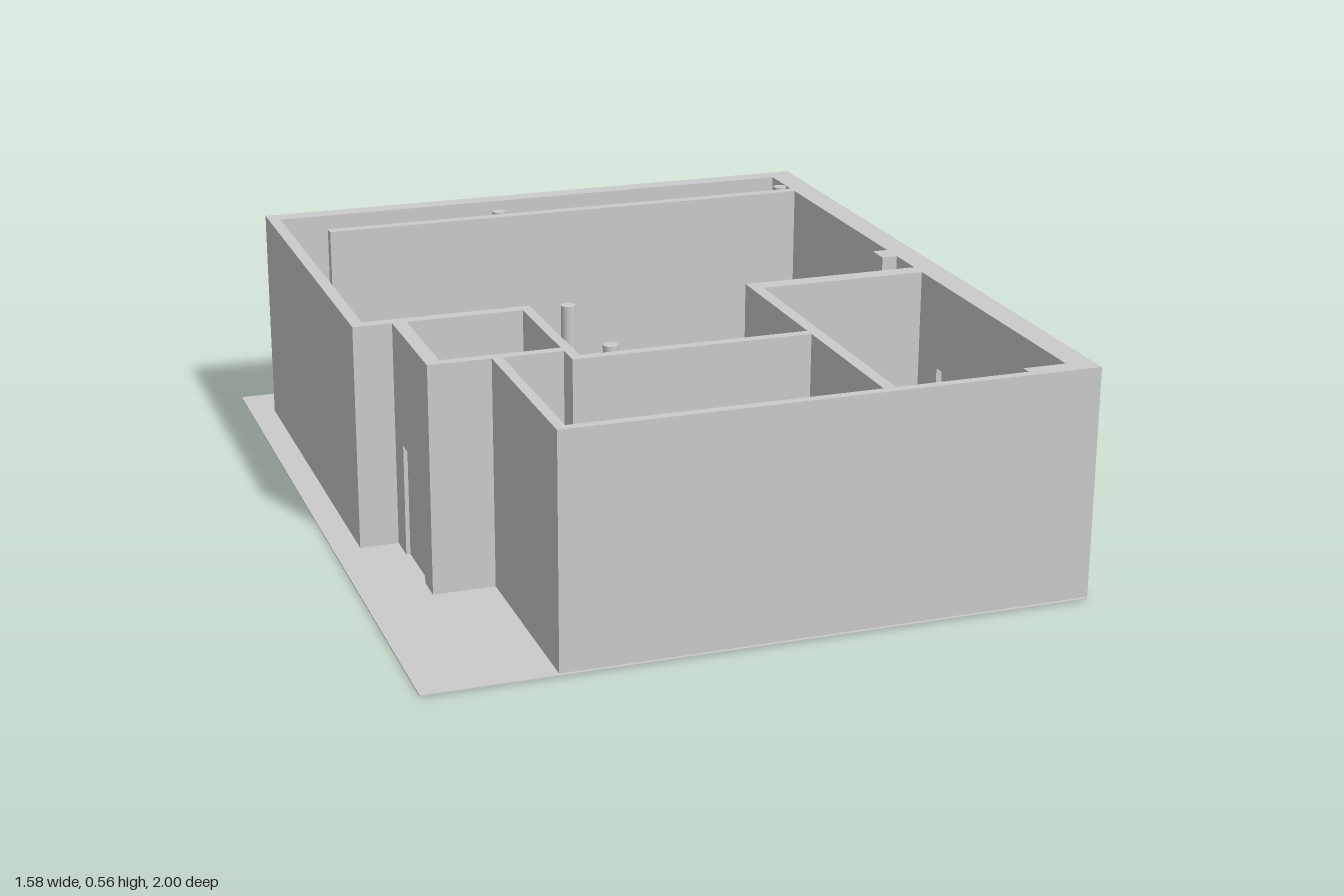
import * as THREE from 'three';

const H = 0.56; // wall height

export function createModel() {
  const root = new THREE.Group();
  const mat = new THREE.MeshStandardMaterial({ color: 0xcccccc });

  const add = (name, geo) => {
    const mesh = new THREE.Mesh(geo, mat);
    mesh.name = name;
    root.add(mesh);
    return mesh;
  };

  // Axis-aligned block given by its limits
  const block = (name, x0, x1, y0, y1, z0, z1) =>
    add(name, new THREE.BoxGeometry(x1 - x0, y1 - y0, z1 - z0)
      .translate((x0 + x1) / 2, (y0 + y1) / 2, (z0 + z1) / 2));

  // Wall with an optional opening [from, to, bottom, top] along its length
  const wall = (name, x0, x1, z0, z1, opening) => {
    if (!opening) return block(name, x0, x1, 0, H, z0, z1);
    const alongX = x1 - x0 > z1 - z0;
    const [s, e] = alongX ? [x0, x1] : [z0, z1];
    const [a, b, lo, hi] = opening;
    const pts = (list) => list.map(([u, v]) => new THREE.Vector2(u, v));
    const door = lo === 0 ? [[a, 0], [a, hi], [b, hi], [b, 0]] : [];
    const shape = new THREE.Shape(pts([[s, 0], ...door, [e, 0], [e, H], [s, H]]));
    if (lo > 0) shape.holes.push(new THREE.Path(pts([[a, lo], [a, hi], [b, hi], [b, lo]])));
    const geo = new THREE.ExtrudeGeometry(shape, { depth: alongX ? z1 - z0 : x1 - x0, bevelEnabled: false });
    if (alongX) {
      geo.translate(0, 0, z0);
    } else {
      // Turn so that the length runs along +z
      geo.rotateY(-Math.PI / 2).translate(x1, 0, 0);
    }
    return add(name, geo);
  };

  // Ground slab
  block('groundSlab', -0.795, 0.78, 0, 0.003, -1, 1);

  // Outer walls
  wall('backWall', -0.73, 0.785, -0.86, -0.81);
  wall('terraceSideWall', 0.72, 0.785, -0.81, 0.97, [0.295, 0.63, 0, 0.34]);
  wall('frontWall', -0.485, 0.785, 0.97, 0.993);
  wall('mainRoomSideWall', -0.73, -0.7, -0.81, 0.145);
  wall('stepWall', -0.73, -0.29, 0.145, 0.175);
  wall('smallRoomSideWall', -0.635, -0.6, 0.175, 0.5, [0.25, 0.43, 0, 0.28]);
  wall('smallRoomFrontWall', -0.6, -0.315, 0.475, 0.5);
  wall('frontRoomSideWall', -0.485, -0.46, 0.5, 0.97);

  // Inner walls
  wall('smallRoomInnerWall', -0.315, -0.29, 0.175, 0.565);
  wall('hatchWall', -0.29, 0.265, 0.54, 0.565, [-0.01, 0.18, 0.2, 0.31]);
  wall('roomDivider', 0.265, 0.295, 0.145, 0.97, [0.81, 0.94, 0, 0.28]);
  wall('sideRoomWall', 0.295, 0.72, 0.145, 0.19, [0.31, 0.63, 0, 0.29]);
  wall('rearPartition', -0.6, 0.72, -0.675, -0.645);
  wall('wallPier', 0.68, 0.72, -0.02, 0.04);
  wall('cornerPier', 0.615, 0.72, 0.945, 0.97);

  // Columns
  for (const [x, z] of [[-0.2, 0.17], [-0.2, 0.49], [-0.12, -0.705], [0.7, -0.705]]) {
    add('column', new THREE.CylinderGeometry(0.018, 0.018, H, 24).translate(x, H / 2, z));
  }

  // Sliding door in the outer wall: two leaves on neighbouring tracks
  block('slidingDoorLeaf', 0.735, 0.747, 0, 0.34, 0.295, 0.47);
  block('slidingDoorLeaf', 0.723, 0.735, 0, 0.34, 0.455, 0.63);

  // Double door between the main room and the side room
  block('doubleDoorLeaf', 0.31, 0.468, 0, 0.29, 0.155, 0.167);
  block('doubleDoorLeaf', 0.472, 0.63, 0, 0.29, 0.155, 0.167);
  block('doorHandle', 0.485, 0.545, 0.14, 0.152, 0.167, 0.215);

  // Single doors of the small room
  block('smallRoomDoor', -0.625, -0.61, 0, 0.28, 0.25, 0.43);
  block('smallRoomInnerDoor', -0.455, -0.33, 0, 0.28, 0.467, 0.506);

  // Door and frame in the room divider
  for (const z of [0.8, 0.94]) block('dividerDoorPost', 0.255, 0.305, 0, 0.29, z, z + 0.012);
  block('dividerDoorHead', 0.255, 0.305, 0.28, 0.29, 0.812, 0.94);
  block('dividerDoor', 0.274, 0.286, 0, 0.28, 0.812, 0.94);

  // Wall knob beside the hatch
  add('wallKnob', new THREE.CylinderGeometry(0.012, 0.012, 0.012, 16)
    .rotateX(Math.PI / 2).translate(0.21, 0.11, 0.535));

  return root;
}
